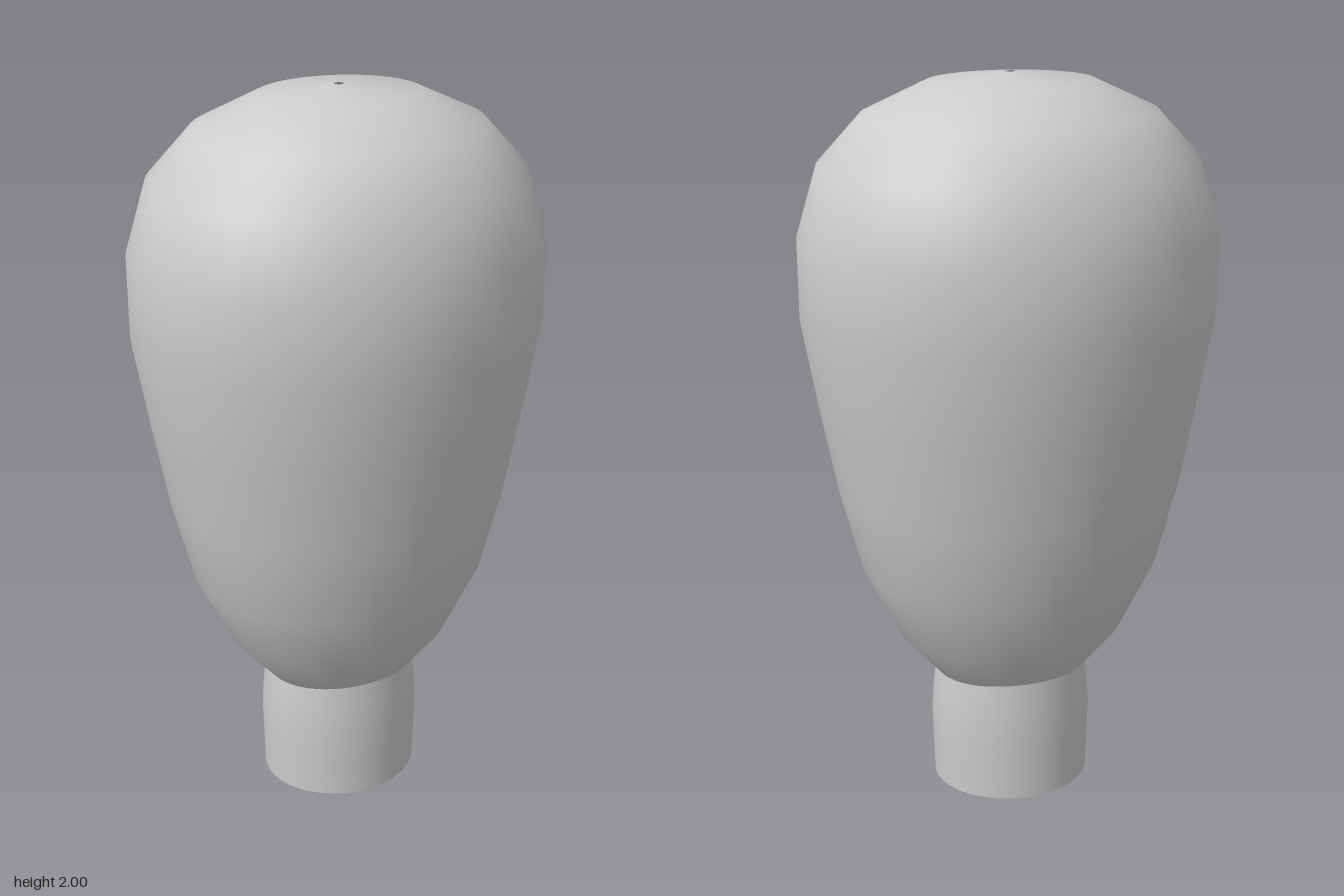
import * as THREE from 'three';
import { mergeVertices } from 'three/addons/utils/BufferGeometryUtils.js';

const SEGMENTS = 64;

// Open elliptical shell from rows of [height, half width, half depth],
// listed bottom to top. The row at seamRow dips at the sides and rises
// at the front and back.
function ellipticalShell(rows, seamRow) {
  const lathe = new THREE.LatheGeometry(rows.map(([y, rx]) => new THREE.Vector2(rx, y)), SEGMENTS);
  const pos = lathe.attributes.position;
  for (let i = 0; i < pos.count; i++) {
    const row = i % rows.length;
    const [y, rx, rz] = rows[row];
    const c = pos.getX(i) / rx;
    pos.setZ(i, pos.getZ(i) * rz / rx);
    if (row === seamRow) pos.setY(i, y + 0.0075 * (1 - 2 * c * c));
  }
  lathe.deleteAttribute('uv');
  lathe.deleteAttribute('normal');
  const shell = mergeVertices(lathe);
  shell.computeVertexNormals();
  return shell;
}

export function createModel() {
  const model = new THREE.Group();
  const material = new THREE.MeshStandardMaterial({ color: 0xcccccc, side: THREE.DoubleSide });

  const addPart = (name, geometry) => {
    const mesh = new THREE.Mesh(geometry, material);
    mesh.name = name;
    model.add(mesh);
  };

  // Neck: slightly bulging sleeve, open at the bottom
  addPart('neck', ellipticalShell([
    [0, 0.222, 0.204],
    [0.1, 0.225, 0.206],
    [0.2, 0.228, 0.208],
    [0.28, 0.222, 0.205],
    [0.347, 0.215, 0.2],
  ], 4));

  // Head: egg-shaped shell with a tiny hole at the crown
  addPart('head', ellipticalShell([
    [0.347, 0.215, 0.2],
    [0.46, 0.318, 0.278],
    [0.66, 0.418, 0.362],
    [0.89, 0.477, 0.41],
    [1.13, 0.522, 0.449],
    [1.375, 0.564, 0.485],
    [1.59, 0.564, 0.485],
    [1.775, 0.507, 0.436],
    [1.9, 0.391, 0.336],
    [1.978, 0.222, 0.193],
    [2, 0.013, 0.012],
  ], 0));

  return model;
}
